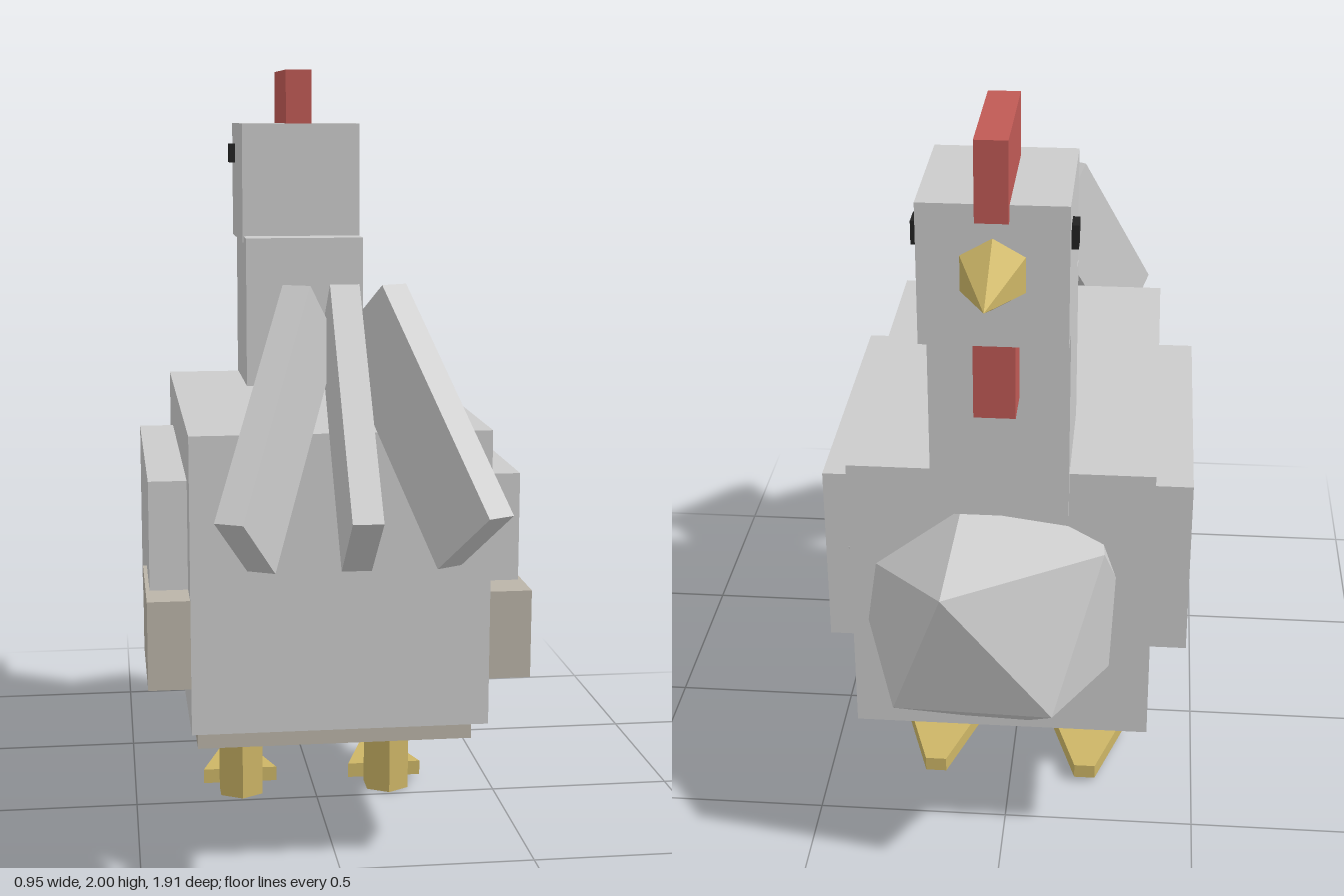
import * as THREE from 'three';

export function createModel() {
  const model = new THREE.Group();
  const mat = (color) => new THREE.MeshStandardMaterial({ color, flatShading: true });
  const grey = mat(0xcccccc), tan = mat(0xbab4a8), red = mat(0xc05a55);
  const yellow = mat(0xccb566), black = mat(0x222222);

  const add = (name, geometry, material, x = 0, y = 0, z = 0) => {
    const mesh = new THREE.Mesh(geometry, material);
    mesh.name = name;
    mesh.position.set(x, y, z);
    model.add(mesh);
    return mesh;
  };
  // Box given by its limits on each axis
  const block = (name, material, [x0, x1], [y0, y1], [z0, z1]) =>
    add(name, new THREE.BoxGeometry(x1 - x0, y1 - y0, z1 - z0), material,
      (x0 + x1) / 2, (y0 + y1) / 2, (z0 + z1) / 2);

  // Body, neck and head
  block('body', grey, [-0.37, 0.37], [0.375, 1.12], [-0.6, 0.515]);
  block('underbelly', tan, [-0.35, 0.35], [0.3, 0.38], [-0.34, 0.405]);
  block('neck', grey, [-0.165, 0.165], [1.01, 1.535], [-0.62, -0.285]);
  block('head', grey, [-0.167, 0.167], [1.518, 1.85], [-0.75, -0.378]);
  block('comb', red, [-0.037, 0.037], [1.815, 2], [-0.772, -0.435]);
  block('wattle', red, [-0.048, 0.048], [1.33, 1.52], [-0.73, -0.6]);

  // Beak: six-sided cone pointing backward along z
  const beak = add('beak', new THREE.ConeGeometry(0.085, 0.21, 6), yellow, 0, 1.69, -0.85);
  beak.rotation.x = -Math.PI / 2;

  // Faceted breast, tilted so that an edge leads
  const breast = add('breast', new THREE.IcosahedronGeometry(0.394, 0), grey, 0.018, 0.705, -0.48);
  breast.quaternion.setFromRotationMatrix(new THREE.Matrix4().makeBasis(
    new THREE.Vector3(0.64, 0.768, 0),
    new THREE.Vector3(0, 0, -1),
    new THREE.Vector3(-0.768, 0.64, 0)));
  breast.rotateX(0.1);

  // Foot outline: wide at the leg, narrow at the toe
  const footShape = new THREE.Shape([[-0.103, 0.11], [0.103, 0.11], [0.028, 0.34], [-0.028, 0.34]]
    .map(([x, y]) => new THREE.Vector2(x, y)));
  const footGeometry = new THREE.ExtrudeGeometry(footShape, { depth: 0.04, bevelEnabled: false });
  footGeometry.rotateX(-Math.PI / 2);

  // Paired parts
  for (const [side, s] of [['left', 1], ['right', -1]]) {
    const span = (a, b) => (s > 0 ? [a, b] : [-b, -a]);
    block(side + 'Wing', grey, span(0.36, 0.465), [0.51, 0.99], [-0.415, 0.405]);
    block(side + 'WingTip', tan, span(0.36, 0.475), [0.492, 0.715], [0.148, 0.514]);
    block(side + 'Eye', black, span(0.16, 0.183), [1.735, 1.79], [-0.705, -0.65]);
    add(side + 'Leg', new THREE.CylinderGeometry(0.067, 0.067, 0.31, 6), yellow, s * 0.206, 0.155, -0.077);
    add(side + 'Foot', footGeometry, yellow, s * 0.206, 0.012, 0);
  }

  // Tail: three fanned feathers
  for (const [name, s] of [['leftTailFeather', 1], ['middleTailFeather', 0], ['rightTailFeather', -1]]) {
    const feather = add(name, new THREE.BoxGeometry(0.07, 0.632, 0.236), grey, s * 0.167, 1.163, 0.664);
    feather.rotation.set(-0.69, s * 0.487, 0, 'YXZ');
  }
  return model;
}
